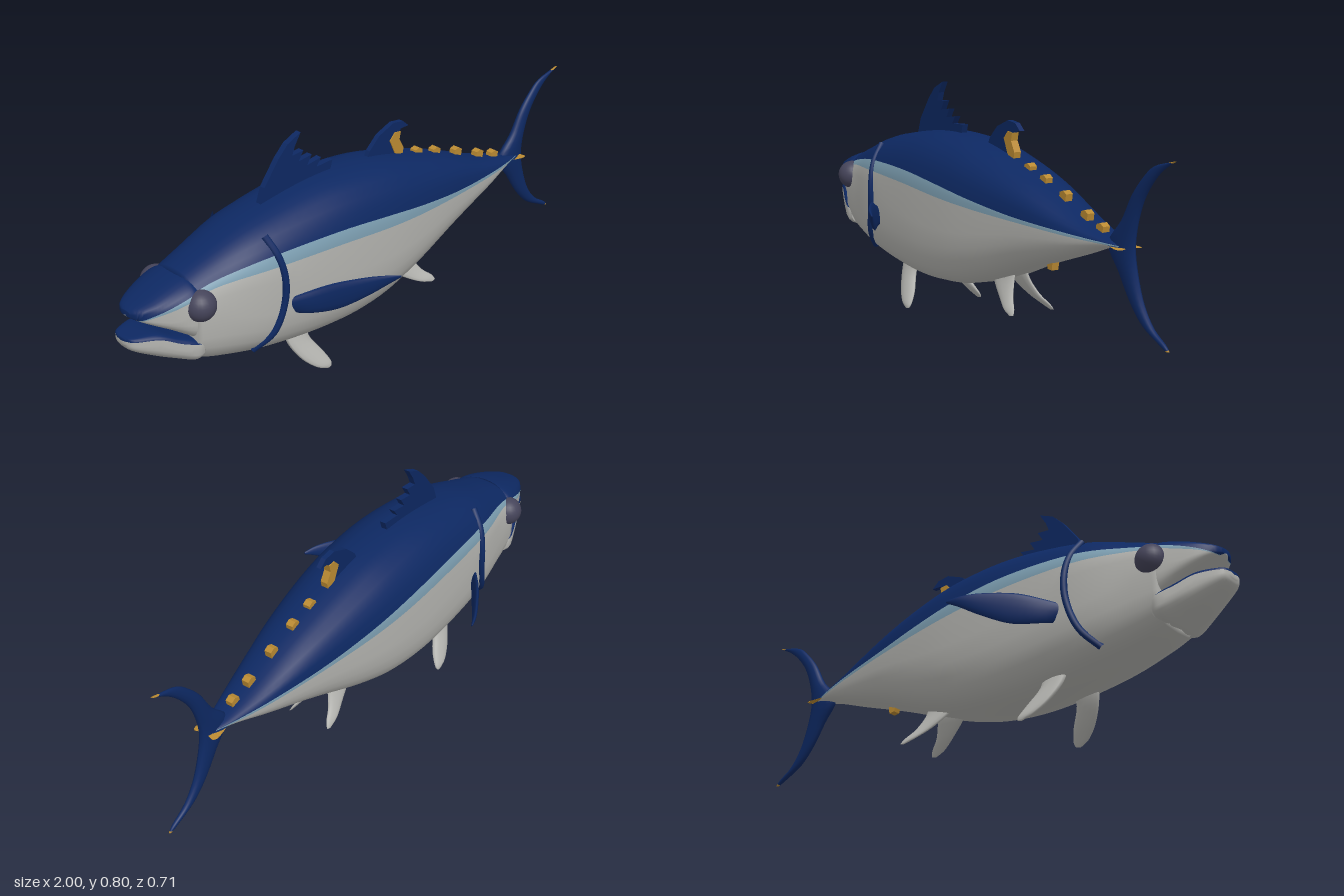
import * as THREE from 'three';

const mat = (name, color) => Object.assign(new THREE.MeshStandardMaterial({ color }), { name });
const V = (x, y, z) => new THREE.Vector3(x, y, z);

// Smoothly resample a table of rows, column by column
function smoothRows(rows, per) {
  const n = (rows.length - 1) * per;
  const cols = rows[0].map((_, c) => new THREE.CatmullRomCurve3(rows.map((r, i) => V(i, r[c], 0))));
  return Array.from({ length: n + 1 }, (_, i) => cols.map((c) => c.getPoint(i / n).y));
}

// Skin closed rings with capped ends; pick(row, segment) gives the material index
function loft(name, rings, mats, pick = () => 0) {
  const n = rings[0].length, pos = [], faces = mats.map(() => []);
  rings.forEach((r) => r.forEach((p) => pos.push(p.x, p.y, p.z)));
  for (let i = 0; i < rings.length - 1; i++) {
    for (let j = 0; j < n; j++) {
      const a = i * n + j, b = i * n + (j + 1) % n;
      faces[pick(i, j)].push([a, b, a + n], [b, b + n, a + n]);
    }
  }
  [0, rings.length - 1].forEach((i) => {
    const mid = rings[i].reduce((s, p) => s.add(p), V(0, 0, 0)).divideScalar(n);
    const m = pos.length / 3;
    pos.push(mid.x, mid.y, mid.z);
    for (let j = 0; j < n; j++) {
      const a = i * n + j, b = i * n + (j + 1) % n;
      faces[pick(Math.min(i, rings.length - 2), j)].push(i ? [a, b, m] : [b, a, m]);
    }
  });
  // Turn the faces outwards whichever way the rings run
  const at = (k) => V(pos[3 * k], pos[3 * k + 1], pos[3 * k + 2]).sub(rings[0][0]);
  const volume = faces.flat().reduce((s, [a, b, c]) => s + at(a).dot(at(b).cross(at(c))), 0);
  if (volume < 0) faces.flat().forEach((f) => f.reverse());
  const geo = new THREE.BufferGeometry();
  geo.setAttribute('position', new THREE.Float32BufferAttribute(pos, 3));
  geo.setIndex(faces.flat(2));
  let start = 0;
  faces.forEach((f, m) => { geo.addGroup(start, f.length * 3, m); start += f.length * 3; });
  geo.computeVertexNormals();
  const mesh = new THREE.Mesh(geo, mats);
  mesh.name = name;
  return mesh;
}

// Body-like loft. Rows: x, top, bottom, half width, back colour edge, band colour edge
const SEGS = [6, 2, 8];
function bodyLoft(name, rows, mats, power, c = 0.6) {
  const rings = smoothRows(rows, 6).map(([x, top, bot, w, yA, yB]) => {
    const [pT, pB] = power(x), h = Math.max(top - bot, 0.001);
    const angle = (y) => {
      const s = THREE.MathUtils.clamp((y - bot) / h, 0.003, 0.997) - c;
      return s >= 0 ? Math.asin((s / (1 - c)) ** (pT / 2)) : -Math.asin((-s / c) ** (pB / 2));
    };
    const point = (a) => {
      const up = Math.sin(a) >= 0, e = 2 / (up ? pT : pB);
      const d = Math.abs(Math.sin(a)) ** e;
      return V(x, bot + h * (c + (up ? (1 - c) * d : -c * d)), w * Math.max(Math.cos(a), 0) ** e);
    };
    const stops = [Math.PI / 2, angle(yA), angle(yB), -Math.PI / 2], half = [];
    SEGS.forEach((k, s) => {
      for (let i = 0; i < k; i++) half.push(point(THREE.MathUtils.lerp(stops[s], stops[s + 1], i / k)));
    });
    half.push(point(-Math.PI / 2));
    const other = half.slice(1, -1).reverse().map((p) => V(p.x, p.y, -p.z));
    return [...half, ...other];
  });
  const total = SEGS[0] + SEGS[1] + SEGS[2];
  return loft(name, rings, mats, (i, j) => {
    const k = j < total ? j : 2 * total - 1 - j;
    return k < SEGS[0] ? 0 : k < SEGS[0] + SEGS[1] ? 1 : 2;
  });
}

// Lens-section fin. Rows: leading x, y, z, trailing x, y, z, half thickness
function fin(name, rows, mats, side = 1, pick) {
  const rings = smoothRows(rows, 4).map(([ax, ay, az, bx, by, bz, t]) =>
    Array.from({ length: 12 }, (_, k) => {
      const a = (k / 12) * Math.PI * 2, u = (1 - Math.cos(a)) / 2;
      return V(ax + (bx - ax) * u, ay + (by - ay) * u, side * (az + (bz - az) * u + t * Math.sin(a)));
    }));
  return loft(name, rings, mats, pick);
}

// Flat plate in the x-y plane, centred on z = 0
function plate(name, pts, depth, material, x = 0, y = 0) {
  const geo = new THREE.ExtrudeGeometry(new THREE.Shape(pts.map((p) => new THREE.Vector2(...p))),
    { depth, bevelEnabled: false });
  const mesh = new THREE.Mesh(geo.translate(x, y, -depth / 2), material);
  mesh.name = name;
  return mesh;
}

export function createModel() {
  const navy = mat('navy back', 0x0d2862), band = mat('pale blue band', 0x7d9fb2);
  const grey = mat('silver belly', 0xb4b4b0), gold = mat('gold finlet', 0xba8a32);
  const dark = mat('dark eye', 0x45445a);
  const fish = new THREE.Group();
  fish.name = 'fish';

  // Body and jaws
  const coat = [navy, band, grey];
  fish.add(bodyLoft('body', [
    [-0.8, 0.492, 0.212, 0.124, 0.455, 0.442],
    [-0.7, 0.53, 0.18, 0.142, 0.48, 0.46],
    [-0.52, 0.59, 0.145, 0.175, 0.505, 0.468],
    [-0.26, 0.632, 0.12, 0.188, 0.507, 0.462],
    [-0.04, 0.63, 0.132, 0.183, 0.487, 0.445],
    [0.14, 0.6, 0.18, 0.165, 0.462, 0.432],
    [0.35, 0.54, 0.262, 0.13, 0.435, 0.42],
    [0.56, 0.46, 0.335, 0.085, 0.418, 0.408],
    [0.7, 0.42, 0.385, 0.045, 0.408, 0.402],
    [0.78, 0.405, 0.395, 0.015, 0.402, 0.399],
  ], coat, (x) => [2.4, THREE.MathUtils.clamp(3.2 - 1.2 * x, 2.2, 3.4)]));
  fish.add(bodyLoft('upperJaw', [
    [-0.975, 0.426, 0.408, 0.02, 0.4, 0.4],
    [-0.96, 0.435, 0.398, 0.05, 0.402, 0.4],
    [-0.92, 0.452, 0.375, 0.08, 0.418, 0.412],
    [-0.86, 0.475, 0.34, 0.106, 0.438, 0.426],
    [-0.8, 0.492, 0.3, 0.124, 0.455, 0.442],
    [-0.77, 0.49, 0.28, 0.118, 0.455, 0.442],
  ], coat, () => [2.4, 5]));
  fish.add(bodyLoft('lowerJaw', [
    [-0.997, 0.342, 0.322, 0.02, 0.337, 0.336],
    [-0.98, 0.348, 0.298, 0.05, 0.338, 0.337],
    [-0.91, 0.347, 0.258, 0.083, 0.332, 0.331],
    [-0.85, 0.322, 0.232, 0.107, 0.305, 0.304],
    [-0.8, 0.302, 0.212, 0.123, 0.288, 0.287],
    [-0.77, 0.29, 0.215, 0.117, 0.28, 0.279],
  ], [navy, navy, grey], () => [5, 2.8]));

  // Tail fin with gold tips
  fish.add(fin('tailFin', [
    [0.99, 0.685, 1, 0.687], [0.9, 0.66, 0.945, 0.655], [0.85, 0.62, 0.9, 0.615],
    [0.8, 0.56, 0.855, 0.555], [0.755, 0.48, 0.825, 0.48], [0.69, 0.4, 0.815, 0.4],
    [0.745, 0.32, 0.83, 0.32], [0.8, 0.24, 0.862, 0.24], [0.86, 0.18, 0.91, 0.18],
    [0.94, 0.14, 0.965, 0.146], [0.975, 0.125, 0.985, 0.128],
  ].map(([a, b, c, d], i) => [a, b, 0, c, d, 0, 0.004 + 0.018 * (1 - Math.abs(i - 5) / 5)]),
  [navy, gold], 1, (i) => (i < 1 || i > 38 ? 1 : 0)));

  // Dorsal fins and gold patch
  fish.add(plate('firstDorsalFin', [
    [-0.46, 0.57], [-0.43, 0.655], [-0.37, 0.735], [-0.33, 0.775], [-0.275, 0.8], [-0.3, 0.76],
    [-0.312, 0.73], [-0.265, 0.735], [-0.285, 0.702], [-0.23, 0.71], [-0.25, 0.678], [-0.19, 0.688],
    [-0.21, 0.66], [-0.14, 0.665], [-0.16, 0.6]], 0.022, navy));
  fish.add(plate('secondDorsalFin', [
    [0, 0.58], [0.03, 0.64], [0.075, 0.683], [0.14, 0.71], [0.185, 0.705], [0.212, 0.682],
    [0.175, 0.68], [0.16, 0.65], [0.175, 0.57]], 0.018, navy));
  fish.add(plate('goldDorsalPatch', [
    [0.145, 0.6], [0.122, 0.65], [0.145, 0.675], [0.172, 0.672], [0.166, 0.645], [0.186, 0.61],
    [0.18, 0.58]], 0.026, gold));

  // Finlets along the back and under the tail
  const finlet = [[-0.022, -0.02], [-0.014, 0.014], [0.004, 0.02], [0.02, 0.01], [0.014, -0.025]];
  [[0.26, 0.565], [0.35, 0.54], [0.46, 0.505], [0.575, 0.462], [0.655, 0.435]].forEach(([x, y], i) =>
    fish.add(plate('finlet' + (i + 1), finlet, 0.026, gold, x, y)));
  fish.add(plate('lowerFinlet', [[-0.025, 0.03], [-0.012, -0.01], [0.01, -0.012], [0.018, 0.04]],
    0.026, gold, 0.395, 0.27));

  // Paired parts
  [1, -1].forEach((side) => {
    const label = side > 0 ? 'left' : 'right';
    fish.add(fin(label + 'PectoralFin', [
      [-0.47, 0.285, 0.15, -0.5, 0.33, 0.15, 0.012],
      [-0.42, 0.28, 0.2, -0.43, 0.36, 0.2, 0.013],
      [-0.34, 0.285, 0.25, -0.36, 0.384, 0.25, 0.012],
      [-0.26, 0.32, 0.3, -0.27, 0.393, 0.305, 0.01],
      [-0.2, 0.355, 0.335, -0.21, 0.39, 0.338, 0.007],
      [-0.163, 0.373, 0.353, -0.165, 0.381, 0.355, 0.003],
    ], [navy], side));
    fish.add(fin(label + 'PelvicFin', [
      [-0.43, 0.18, 0.075, -0.32, 0.18, 0.075, 0.014],
      [-0.42, 0.12, 0.093, -0.33, 0.12, 0.093, 0.015],
      [-0.385, 0.06, 0.12, -0.295, 0.06, 0.12, 0.014],
      [-0.34, 0.02, 0.142, -0.277, 0.022, 0.142, 0.009],
      [-0.3, 0.002, 0.15, -0.28, 0.006, 0.15, 0.003],
    ], [grey], side));
    fish.add(fin(label + 'AnalFin', [
      [0.08, 0.22, 0.02, 0.21, 0.24, 0.02, 0.012],
      [0.1, 0.175, 0.035, 0.215, 0.19, 0.03, 0.012],
      [0.165, 0.13, 0.055, 0.24, 0.14, 0.052, 0.01],
      [0.22, 0.102, 0.074, 0.275, 0.11, 0.07, 0.007],
      [0.265, 0.088, 0.081, 0.285, 0.092, 0.08, 0.003],
    ], [grey], side));
    // Tail keel with a gold end
    fish.add(fin(label + 'TailKeel', [
      [0.68, 0.402, 0.02, 0.76, 0.4, 0, 0.008],
      [0.73, 0.4, 0.034, 0.79, 0.4, 0.01, 0.008],
      [0.77, 0.398, 0.042, 0.8, 0.398, 0.036, 0.006],
    ], [navy, gold], side, (i) => (i > 3 ? 1 : 0)));
    // Gill edge
    const path = new THREE.CatmullRomCurve3([
      V(-0.525, 0.56, 0.118), V(-0.508, 0.5, 0.16), V(-0.497, 0.43, 0.178), V(-0.5, 0.345, 0.178),
      V(-0.535, 0.24, 0.161), V(-0.585, 0.178, 0.115)].map((p) => V(p.x, p.y, p.z * side)));
    const gill = new THREE.Mesh(new THREE.TubeGeometry(path, 30, 0.012, 8), navy);
    gill.name = label + 'GillEdge';
    fish.add(gill);
    // Eye
    const eye = new THREE.Mesh(new THREE.SphereGeometry(0.051, 24, 16), dark);
    eye.name = label + 'Eye';
    eye.position.set(-0.778, 0.412, side * 0.111);
    fish.add(eye);
  });
  return fish;
}
